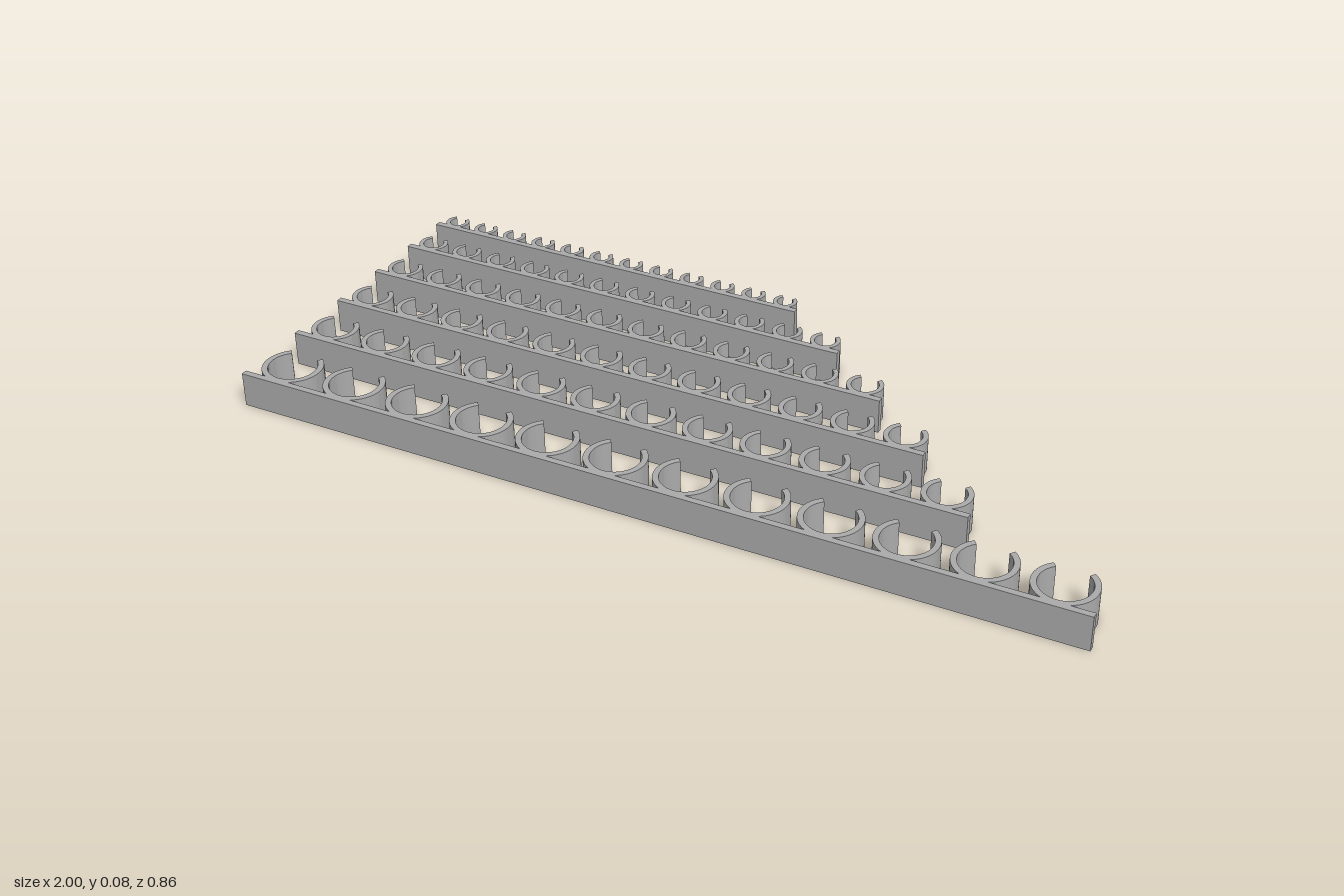
import * as THREE from 'three';
import { toCreasedNormals } from 'three/addons/utils/BufferGeometryUtils.js';

const HEIGHT = 0.083;
const BAR = 0.015;      // bar thickness
const OVERLAP = 0.008;  // how far a clip sits back from the bar's front face
const CLIPS = 12;

// each row: bar length, front z, clip outer radius, clip wall
const ROWS = [
  [2.0, 0.4325, 0.07, 0.0135],
  [1.667, 0.232, 0.0555, 0.0125],
  [1.5, 0.061, 0.049, 0.012],
  [1.333, -0.097, 0.0425, 0.011],
  [1.167, -0.242, 0.0355, 0.0105],
  [1.0, -0.372, 0.029, 0.01],
];

// open C-shaped clip, gap facing the back
function clipGeometry(outer, wall) {
  const tip = THREE.MathUtils.degToRad(52);
  const start = Math.PI - tip, end = Math.PI * 2 + tip;
  const shape = new THREE.Shape();
  shape.absarc(0, 0, outer, start, end, false);
  shape.absarc(0, 0, outer - wall, end, start, true);
  shape.closePath();
  const geo = new THREE.ExtrudeGeometry(shape, { depth: HEIGHT, bevelEnabled: false, curveSegments: 32 });
  geo.rotateX(-Math.PI / 2);
  return toCreasedNormals(geo, 0.6);
}

export function createModel() {
  const model = new THREE.Group();
  model.name = 'clipRails';
  const grey = new THREE.MeshStandardMaterial({ color: 0xaaaaaa });
  grey.name = 'grey plastic';

  ROWS.forEach(([length, front, radius, wall], r) => {
    const row = new THREE.Group();
    row.name = `rail${r + 1}`;

    // straight backing bar, all rails aligned at x = -1
    const bar = new THREE.Mesh(new THREE.BoxGeometry(length, HEIGHT, BAR), grey);
    bar.name = 'bar';
    bar.position.set(-1 + length / 2, HEIGHT / 2, front - BAR / 2);
    row.add(bar);

    // evenly spaced clips
    const geo = clipGeometry(radius, wall);
    const pitch = length / CLIPS;
    for (let i = 0; i < CLIPS; i++) {
      const clip = new THREE.Mesh(geo, grey);
      clip.name = `clip${i + 1}`;
      clip.position.set(-1 + pitch * (i + 0.5), 0, front - OVERLAP - radius);
      row.add(clip);
    }
    model.add(row);
  });
  return model;
}
